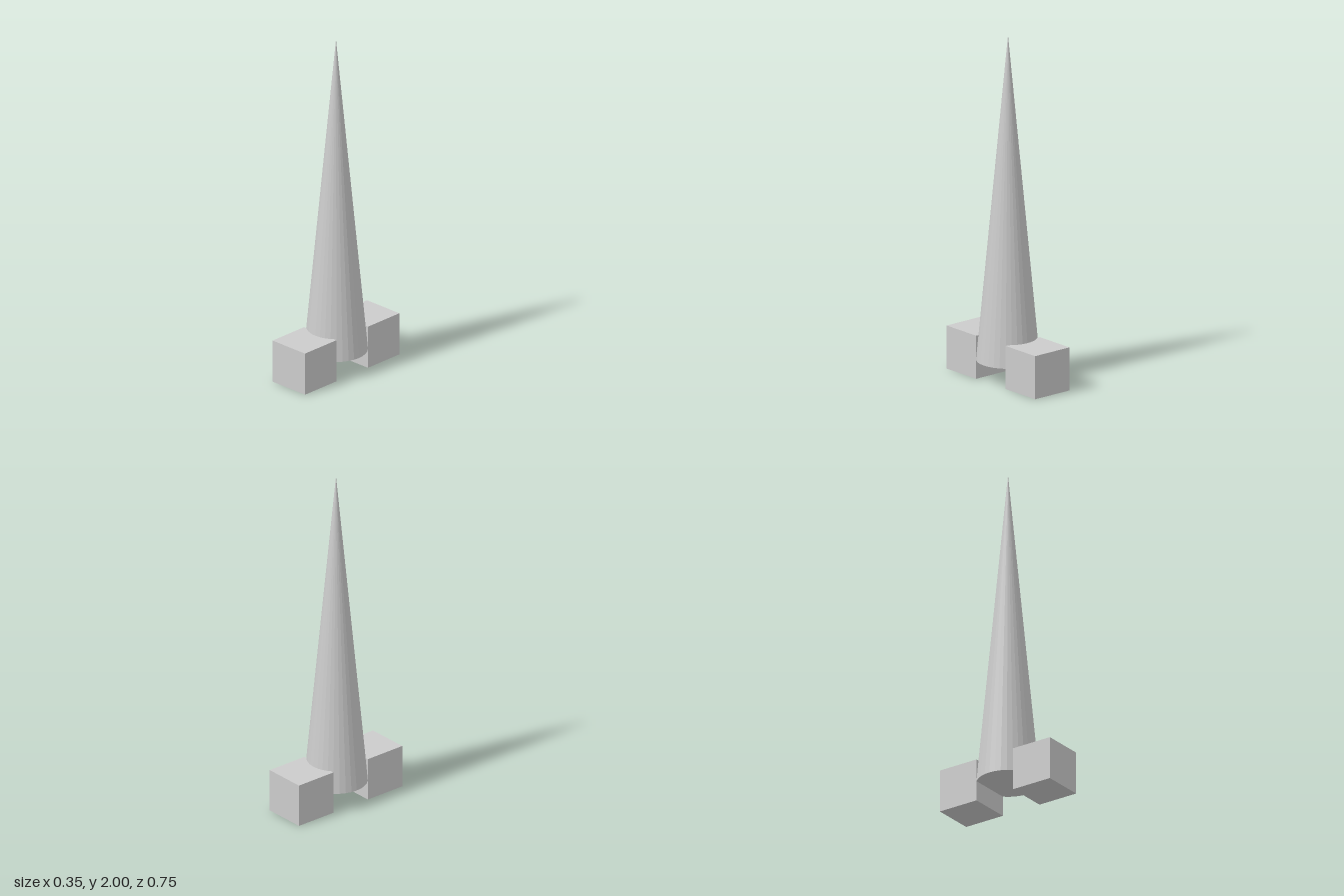
import * as THREE from 'three';

export function createModel() {
  const model = new THREE.Group();
  model.name = 'spireOnBlocks';

  const lightGrey = new THREE.MeshStandardMaterial({ color: 0xcccccc });
  lightGrey.name = 'lightGrey';

  // Tall faceted cone with a closed base, raised off the ground
  const baseY = 0.117;
  const height = 2 - baseY;
  const coneGeometry = new THREE.ConeGeometry(0.177, height, 32).toNonIndexed();
  coneGeometry.computeVertexNormals(); // flat facets
  const cone = new THREE.Mesh(coneGeometry, lightGrey);
  cone.name = 'spire';
  cone.position.y = baseY + height / 2;
  model.add(cone);

  // Matching cube supports at front and back
  const size = 0.25;
  for (const [name, side] of [['frontBlock', 1], ['backBlock', -1]]) {
    const block = new THREE.Mesh(new THREE.BoxGeometry(size, size, size), lightGrey);
    block.name = name;
    block.position.set(0, size / 2, side * 0.25);
    model.add(block);
  }

  return model;
}
